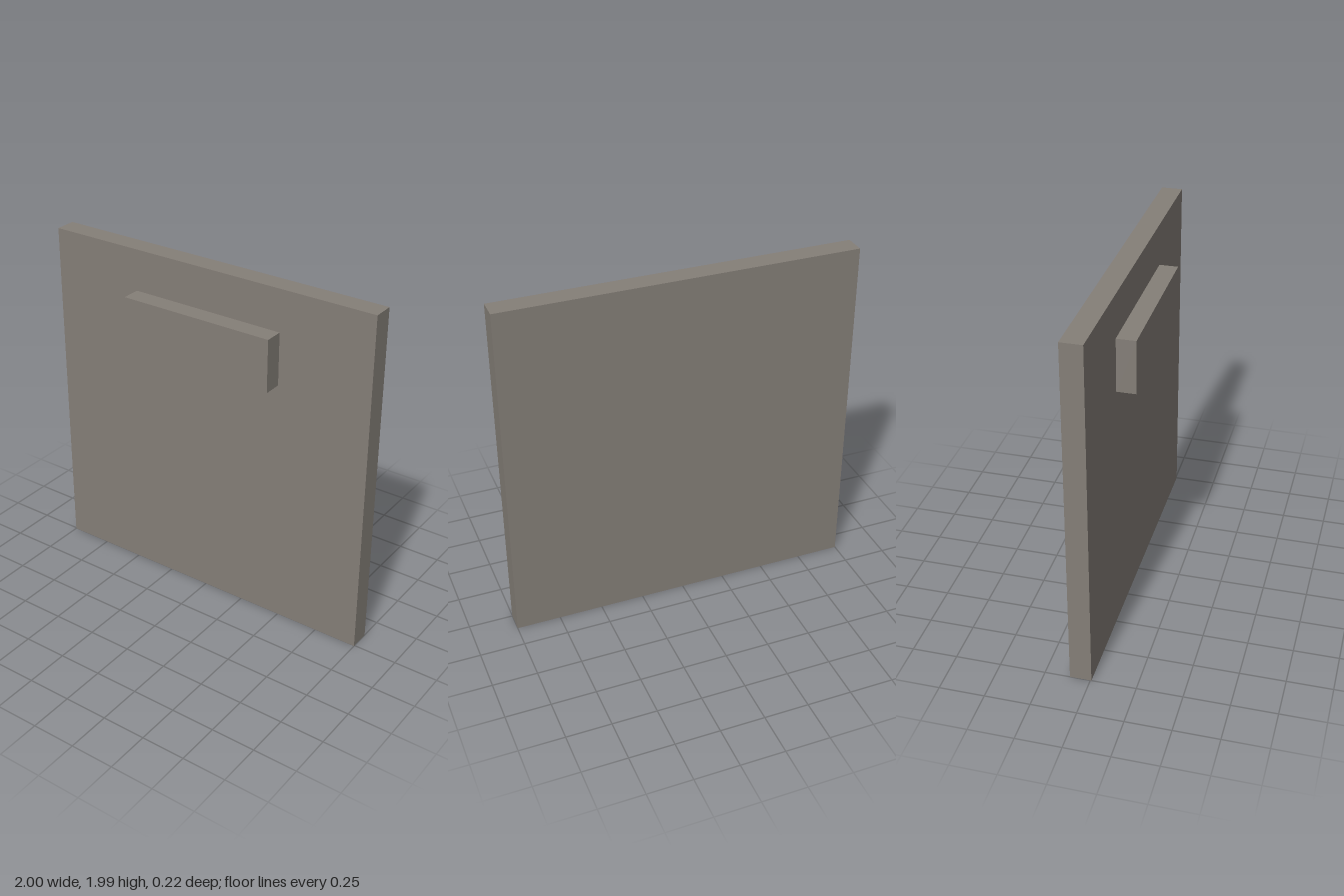
import * as THREE from 'three';

export function createModel() {
  const model = new THREE.Group();
  const material = new THREE.MeshStandardMaterial({ color: 0x857f78 });

  // Adds a box given its lower and upper corners
  const addBox = (name, min, max) => {
    const size = max.map((v, i) => v - min[i]);
    const mesh = new THREE.Mesh(new THREE.BoxGeometry(...size), material);
    mesh.name = name;
    mesh.position.set(...max.map((v, i) => (v + min[i]) / 2));
    model.add(mesh);
  };

  // Flat square front panel
  addBox('panel', [-1, 0, -0.112], [1, 1.988, 0.006]);
  // Block handle near the top of the front face
  addBox('handle', [-0.457, 1.45, 0.006], [0.457, 1.75, 0.112]);

  return model;
}
